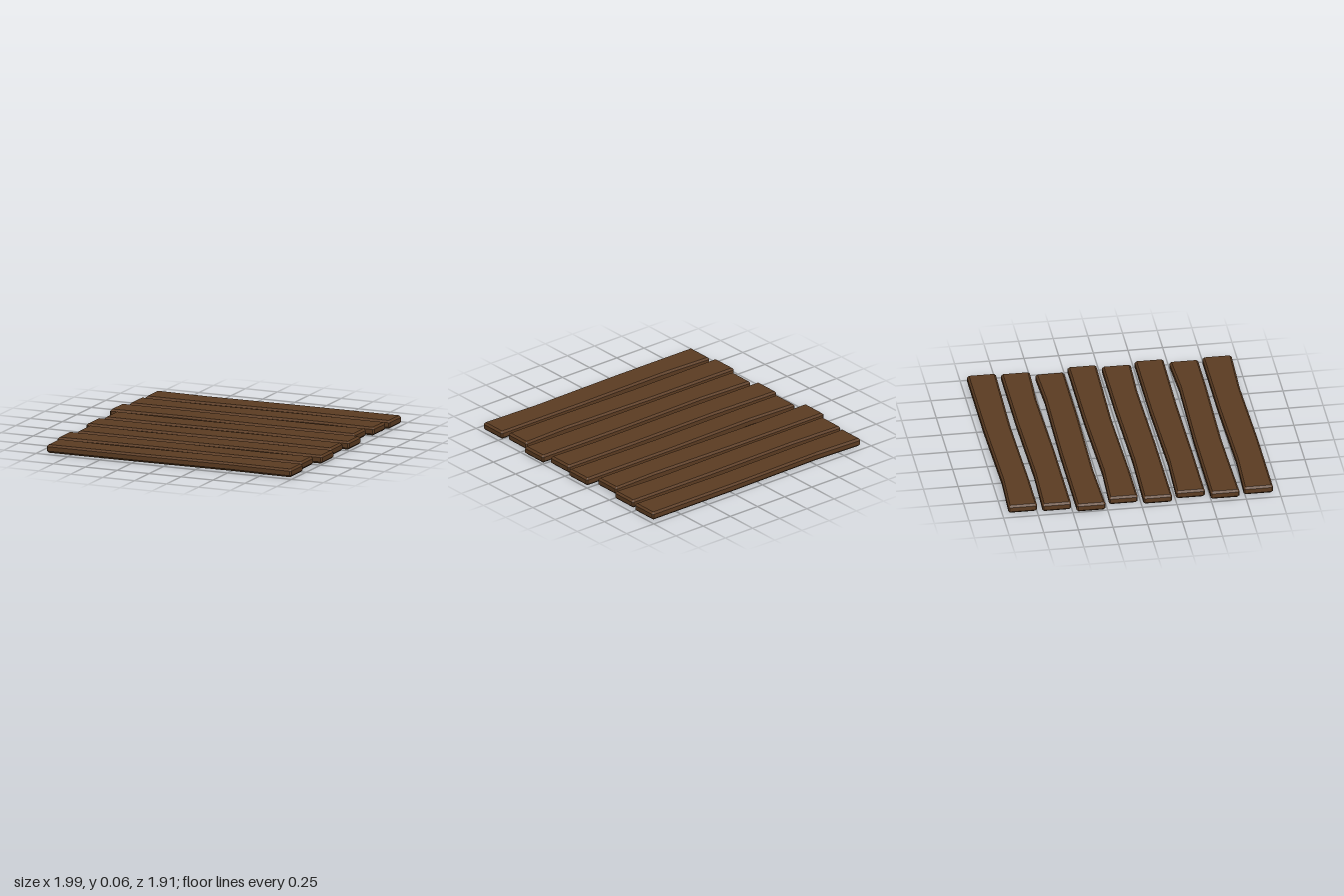
import * as THREE from 'three';

const THICKNESS = 0.06, BEVEL = 0.014, CORNER = 0.01;

// One board per row: x ends, z edges, then the inward dips [x, depth] of the back and front edges
const BOARDS = [
  [-0.943, 0.972, -0.956, -0.748, [-0.55, 0.014], [0.2, 0.013]],
  [-0.957, 0.958, -0.713, -0.505, [-0.5, 0.012], [0.56, 0.013]],
  [-1.0, 0.915, -0.472, -0.264, [0.55, 0.012], [-0.5, 0.012]],
  [-0.932, 0.983, -0.229, -0.021, [-0.53, 0.015], [0.2, 0.013]],
  [-0.963, 0.953, 0.014, 0.222, [-0.4, 0.011], [0.57, 0.011]],
  [-0.922, 0.994, 0.256, 0.464, [-0.47, 0.014], [0.35, 0.006]],
  [-0.968, 0.946, 0.499, 0.707, [0.57, 0.015], [-0.2, 0.012]],
  [-0.941, 0.975, 0.741, 0.953, [-0.52, 0.013], [0.5, 0.013]],
];

// Edge depth at x: flat at the ends, easing into the dip on its longer side
function edgePoints(x0, x1, z, [dipX, depth], inward) {
  const far = dipX < 0 ? Math.min(dipX + 0.75, x1 - 0.2) : Math.max(dipX - 0.75, x0 + 0.2);
  const inner = [[dipX, z + inward * depth], [far, z]].sort((a, b) => a[0] - b[0]);
  return [[x0 + CORNER, z], ...inner, [x1 - CORNER, z]];
}

// Bevelled board, extruded upwards from its plan outline
function boardGeometry([x0, x1, zBack, zFront, backDip, frontDip]) {
  const outline = [
    ...edgePoints(x0, x1, zFront, frontDip, -1),
    [x1, zFront - CORNER],
    [x1, zBack + CORNER],
    ...edgePoints(x0, x1, zBack, backDip, 1).reverse(),
    [x0, zBack + CORNER],
    [x0, zFront - CORNER],
  ];
  const shape = new THREE.Shape(outline.map(([x, z]) => new THREE.Vector2(x, -z)));
  const geometry = new THREE.ExtrudeGeometry(shape, {
    depth: THICKNESS - 2 * BEVEL,
    bevelEnabled: true,
    bevelThickness: BEVEL,
    bevelSize: BEVEL,
    bevelOffset: -BEVEL,
    bevelSegments: 1,
  });
  return geometry.rotateX(-Math.PI / 2).translate(0, BEVEL, 0);
}

export function createModel() {
  const wood = new THREE.MeshStandardMaterial({ color: 0x5c3c22 });
  wood.name = 'dark wood';

  const floor = new THREE.Group();
  floor.name = 'plankFloor';
  BOARDS.forEach((board, i) => {
    const mesh = new THREE.Mesh(boardGeometry(board), wood);
    mesh.name = `plank${i + 1}`;
    floor.add(mesh);
  });
  return floor;
}
